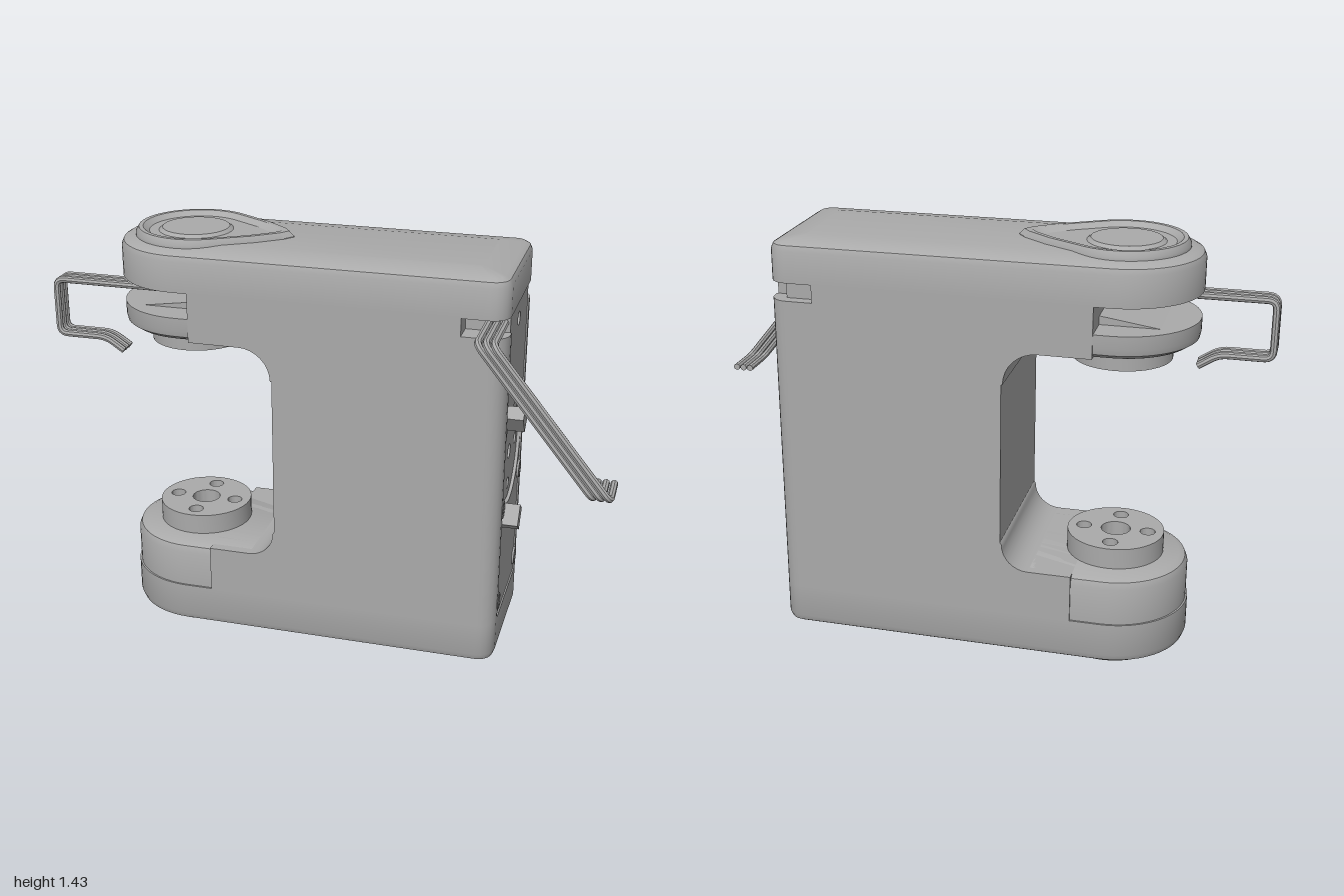
import * as THREE from 'three';
import { toCreasedNormals } from 'three/addons/utils/BufferGeometryUtils.js';

const ZC = -0.08; // middle plane of the arm
const HALF = 0.26; // half thickness of the arm

export function createModel() {
  const root = new THREE.Group();
  const grey = new THREE.MeshStandardMaterial({ color: 0xaaaaaa });
  grey.name = 'plain grey';

  const add = (name, geo, x = 0, y = 0, z = 0, parent = root) => {
    const mesh = new THREE.Mesh(toCreasedNormals(geo, 0.6), grey);
    mesh.name = name;
    mesh.position.set(x, y, z);
    parent.add(mesh);
    return mesh;
  };

  // Convex outline (x, z) lofted through levels [parameter, y], capped at both ends
  const loft = (outline, levels) => {
    const rings = levels.map(([p, y]) => outline(p).map(([x, z]) => [x, y, z]));
    const pos = [];
    const tri = (...pts) => pts.forEach((p) => pos.push(...p));
    const n = rings[0].length;
    const cap = (ring, up) => {
      for (let j = 1; j < n - 1; j++) {
        if (up) tri(ring[0], ring[j + 1], ring[j]);
        else tri(ring[0], ring[j], ring[j + 1]);
      }
    };
    for (let i = 0; i < rings.length - 1; i++) {
      for (let j = 0; j < n; j++) {
        const k = (j + 1) % n;
        const [a, b, c, d] = [rings[i][j], rings[i][k], rings[i + 1][k], rings[i + 1][j]];
        tri(a, d, b);
        tri(b, d, c);
      }
    }
    cap(rings[0], false);
    cap(rings[rings.length - 1], true);
    const geo = new THREE.BufferGeometry();
    geo.setAttribute('position', new THREE.Float32BufferAttribute(pos, 3));
    return geo;
  };

  const arc = (cx, cz, r, from, to, steps) =>
    Array.from({ length: steps + 1 }, (_, i) => {
      const a = THREE.MathUtils.degToRad(from + ((to - from) * i) / steps);
      return [cx + r * Math.cos(a), cz + r * Math.sin(a)];
    });

  // Plan of the arm: round nose on the -x end, small corners on the +x end
  const plan = (inset) => {
    const r = Math.max(0.06 - inset, 0.01);
    const cx = 0.62 - inset - r, cz = HALF - inset - r;
    return [
      ...arc(cx, cz, r, 0, 90, 5),
      ...arc(-0.5, 0, HALF - inset, 90, 270, 28),
      ...arc(cx, -cz, r, 270, 360, 5),
    ];
  };

  // Teardrop pointing to +x
  const teardrop = (s) =>
    [
      [0.345, 0], [0.32, 0.035], [0.24, 0.1],
      ...arc(0, 0, 0.21, 60, 300, 30),
      [0.24, -0.1], [0.32, -0.035],
    ].map(([x, z]) => [x * s, z * s]);

  const polygon = (pts) => new THREE.Shape(pts.map(([x, y]) => new THREE.Vector2(x, y)));
  const circlePath = (x, y, r) => new THREE.Path().absarc(x, y, r, 0, Math.PI * 2, true);
  const extrude = (shape, depth) =>
    new THREE.ExtrudeGeometry(shape, { depth, bevelEnabled: false, curveSegments: 20 });

  // Caps and lower arm
  add('topCap', loft(plan, [[0, 1.27], [0, 1.375], [0.008, 1.393], [0.025, 1.403], [0.1, 1.415]]), 0, 0, ZC);
  add('bottomCap', loft(plan, [[0.1, 0.012], [0.03, 0.02], [0.008, 0.034], [0, 0.055], [0, 0.17]]), 0, 0, ZC);
  add('lowerArm', loft(plan, [[0.006, 0.17], [0.006, 0.3], [0.015, 0.322], [0.035, 0.333]]), 0, 0, ZC);

  // Rounded lip below the slot at the end of the upper arm
  const lip = (inset) => plan(inset).map(([x, z]) => [Math.min(x, -0.4), z]);
  add('upperArmLip', loft(lip, [[0.03, 1.1], [0.008, 1.115], [0.004, 1.135], [0.004, 1.18]]), 0, 0, ZC);

  // Column with rounded outer corners and a pocket for the end plate
  const column = polygon([
    [-0.16, -HALF],
    ...arc(0.56, -0.2, 0.06, 270, 360, 5),
    [0.62, -0.18], [0.57, -0.18], [0.57, 0.18], [0.62, 0.18],
    ...arc(0.56, 0.2, 0.06, 0, 90, 5),
    [-0.16, HALF],
  ]);
  add('column', extrude(column, 1.04).rotateX(-Math.PI / 2), 0, 0.17, ZC);
  const neck = polygon([
    [-0.16, -HALF], [0.47, -HALF], [0.47, -0.18], [0.57, -0.18],
    [0.57, 0.22], [0.47, 0.22], [0.47, HALF], [-0.16, HALF],
  ]);
  add('notchedColumnTop', extrude(neck, 0.06).rotateX(-Math.PI / 2), 0, 1.21, ZC);

  // Fillets joining the arms to the column
  const upperThroat = polygon([
    [-0.16, 1.27], [-0.45, 1.27], [-0.45, 1.1],
    ...arc(-0.275, 0.99, 0.11, 90, 0, 8), [-0.16, 0.99],
  ]);
  const lowerThroat = polygon([
    [-0.16, 0.17], [-0.16, 0.43], ...arc(-0.255, 0.423, 0.09, 0, -90, 8), [-0.4, 0.333], [-0.4, 0.17],
  ]);
  add('upperThroat', extrude(upperThroat, HALF * 2), 0, 0, ZC - HALF);
  add('lowerThroat', extrude(lowerThroat, HALF * 2), 0, 0, ZC - HALF);
  const wedge = polygon([[-0.68, 1.175], [-0.44, 1.175], [-0.44, 1.21]]);
  add('slotWedge', extrude(wedge, 0.3), 0, 0, ZC - 0.15);

  // Teardrop dishes above and below
  for (const top of [true, false]) {
    const dish = new THREE.Group();
    dish.name = top ? 'topDish' : 'bottomDish';
    dish.position.set(-0.5, top ? 1.405 : 0.03, ZC);
    if (!top) dish.rotation.x = Math.PI;
    root.add(dish);
    add('rim', loft(teardrop, [[1, 0], [1, 0.012], [0.95, 0.03], [0.88, 0.03], [0.78, 0.014]]), 0, 0, 0, dish);
    add('button', new THREE.CylinderGeometry(0.115, 0.13, 0.012, 32), -0.005, 0.018, 0, dish);
  }

  // Round flanges with a centre bore and four bolt holes
  const flange = (r, bore, hole, pitch, depth) => {
    const shape = new THREE.Shape().absarc(0, 0, r, 0, Math.PI * 2, false);
    shape.holes.push(circlePath(0, 0, bore));
    for (let i = 0; i < 4; i++) {
      const a = (i * Math.PI) / 2;
      shape.holes.push(circlePath(pitch * Math.cos(a), pitch * Math.sin(a), hole));
    }
    return extrude(shape, depth);
  };
  for (const [name, y] of [['lowerFlange', 0.33], ['upperFlange', 1.035]]) {
    add(name, flange(0.165, 0.05, 0.026, 0.11, 0.075).rotateX(-Math.PI / 2), -0.505, y, ZC);
  }

  // End plate with a round opening and screw holes
  const plate = polygon([[-0.18, 0.17], [0.18, 0.17], [0.18, 1.27], [-0.18, 1.27]]);
  plate.holes.push(circlePath(0, 0.72, 0.178), circlePath(0, 1.2, 0.024));
  const screws = [-1, 1].flatMap((s) => [0.23, 0.58].map((y) => [s * 0.172, y]));
  add('endPlate', extrude(plate, 0.045).rotateY(Math.PI / 2), 0.57, 0, ZC);
  add('endFlange', flange(0.172, 0.026, 0.021, 0.12, 0.035).rotateY(Math.PI / 2), 0.57, 0.72, ZC);
  for (const [z, y] of screws) {
    add('screwRing', new THREE.TorusGeometry(0.026, 0.008, 6, 16).rotateY(Math.PI / 2), 0.615, y, ZC + z);
    add('screwHead', new THREE.CylinderGeometry(0.016, 0.016, 0.02, 6).rotateZ(Math.PI / 2), 0.612, y, ZC + z);
  }
  for (const s of [-1, 1]) {
    const tab = add('flangeTab', new THREE.BoxGeometry(0.08, 0.075, 0.05), 0.632, 0.72 + s * 0.178, 0.055);
    tab.rotation.x = s * 0.65;
  }

  // Cables: bent paths with rounded corners
  const cable = (name, pts, r = 0.012) => {
    const v = pts.map((p) => new THREE.Vector3(...p));
    const path = new THREE.CurvePath();
    let last = v[0];
    for (let i = 1; i < v.length - 1; i++) {
      const near = (q) => v[i].clone().add(q.clone().sub(v[i]).setLength(0.03));
      const before = near(v[i - 1]), after = near(v[i + 1]);
      path.add(new THREE.LineCurve3(last, before));
      path.add(new THREE.QuadraticBezierCurve3(before, v[i], after));
      last = after;
    }
    path.add(new THREE.LineCurve3(last, v[v.length - 1]));
    const mesh = add(name, new THREE.TubeGeometry(path, 90, r, 8, false));
    // Closed ends
    for (const [end, next] of [[v[0], v[1]], [v[v.length - 1], v[v.length - 2]]]) {
      const cap = add('cableEnd', new THREE.CircleGeometry(r, 8), end.x, end.y, end.z, mesh);
      cap.lookAt(end.clone().multiplyScalar(2).sub(next));
    }
  };
  for (const i of [-1, 0, 1]) {
    const z = 0.012 + i * 0.028;
    cable('noseCable', [
      [-0.44, 1.235, z], [-0.985, 1.235, z], [-0.985, 1.038, z], [-0.81, 1.038, z], [-0.745, 0.995, z],
    ]);
    const dx = i * 0.026;
    cable('sideCable', [
      [0.572 + dx, 1.24, 0.09], [0.572 + dx, 1.24, 0.32], [0.958 + dx, 0.765, 0.32], [0.958 + dx, 0.765, 0.18],
    ]);
  }

  return root;
}
